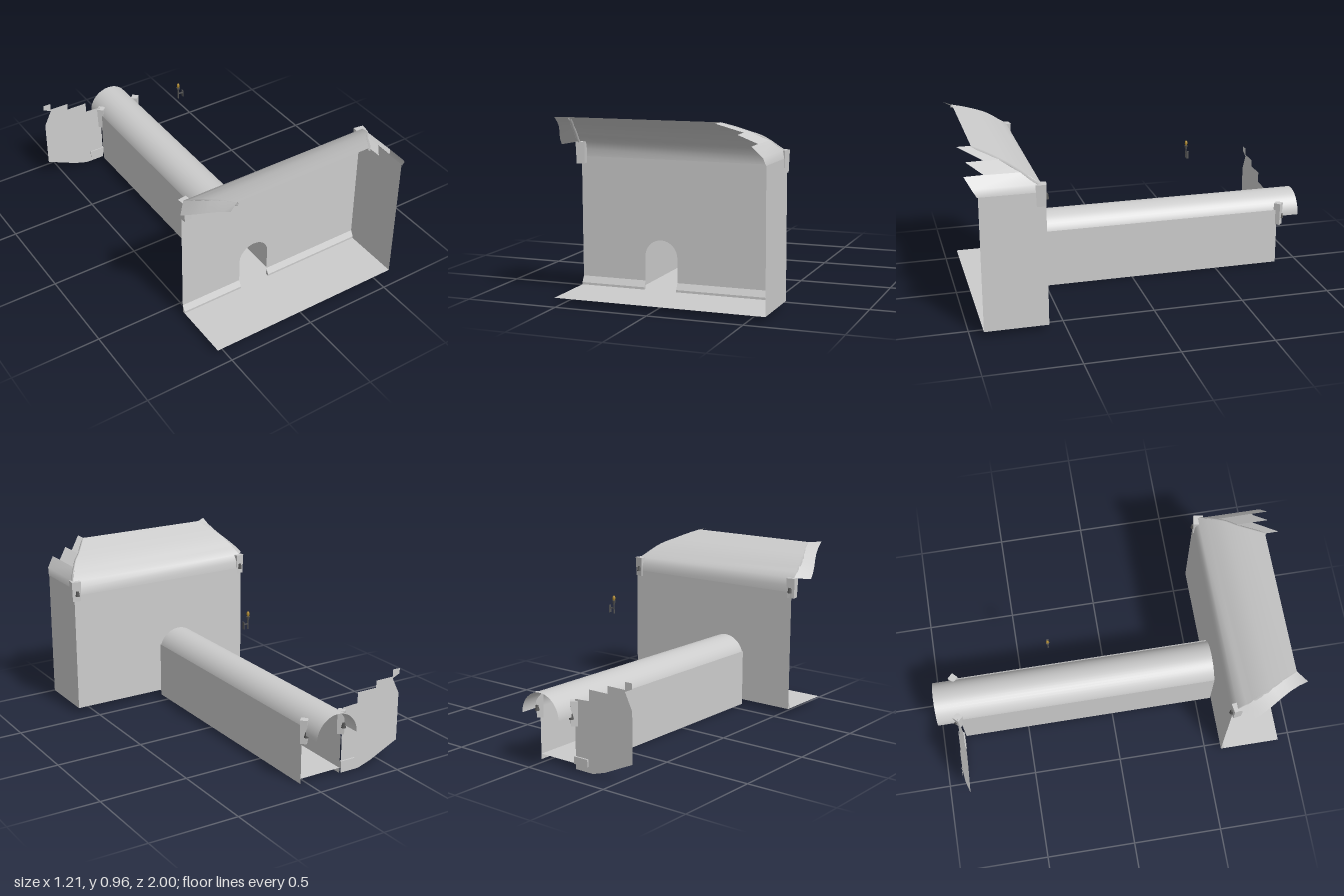
import * as THREE from 'three';

const grey = new THREE.MeshStandardMaterial({ color: 0xcccccc, side: THREE.DoubleSide });
const dark = new THREE.MeshStandardMaterial({ color: 0x555555 });
const gold = new THREE.MeshStandardMaterial({ color: 0xb08a2e });

const MID = -0.09; // tunnel centre line
const LEFT = 0.59, RIGHT = -0.54, BACK = 0.59, FRONT = 0.93, FLOOR = 0.03;

function add(group, name, geometry, x = 0, y = 0, z = 0, material = grey) {
  const mesh = new THREE.Mesh(geometry, material);
  mesh.name = name;
  mesh.position.set(x, y, z);
  group.add(mesh);
  return mesh;
}

// Ruled surface between two rows of points
function ruled(rowA, rowB) {
  const pos = [], index = [];
  rowA.forEach((a, i) => {
    pos.push(...a, ...rowB[i]);
    if (i) {
      const k = i * 2;
      index.push(k - 2, k - 1, k, k, k - 1, k + 1);
    }
  });
  const g = new THREE.BufferGeometry();
  g.setAttribute('position', new THREE.Float32BufferAttribute(pos, 3));
  g.setIndex(index);
  g.computeVertexNormals();
  return g;
}

const polygon = (pts) => new THREE.ShapeGeometry(new THREE.Shape(pts.map((p) => new THREE.Vector2(...p))));

// Tapered capital with a small hanging knob
function capital(name, x, y, z, width, height, turn) {
  const g = new THREE.Group();
  g.name = name;
  g.position.set(x, y, z);
  const r = width / Math.SQRT2;
  const block = add(g, 'capitalBlock', new THREE.CylinderGeometry(r, r * 0.85, height, 4).toNonIndexed());
  block.geometry.computeVertexNormals();
  block.rotation.y = Math.PI / 4 + turn;
  add(g, 'capitalKnob', new THREE.CylinderGeometry(0.008, 0.013, 0.03, 6), 0, -height * 0.1, -width * 0.5, dark);
  return g;
}

function buildRoom() {
  const room = new THREE.Group();
  room.name = 'room';

  // Back wall with the arched doorway cut into its lower edge
  const wall = new THREE.Shape();
  wall.moveTo(RIGHT, FLOOR);
  wall.lineTo(MID - 0.09, FLOOR);
  wall.lineTo(MID - 0.09, 0.205);
  wall.absarc(MID, 0.205, 0.09, Math.PI, 0, true);
  wall.lineTo(MID + 0.09, FLOOR);
  wall.lineTo(LEFT, FLOOR);
  wall.lineTo(LEFT, 0.72);
  wall.lineTo(RIGHT, 0.72);
  add(room, 'backWall', new THREE.ShapeGeometry(wall, 16), 0, 0, BACK);

  // Floor and the single side wall
  const floor = add(room, 'floor', new THREE.PlaneGeometry(LEFT - RIGHT, FRONT - BACK),
    (LEFT + RIGHT) / 2, FLOOR, (FRONT + BACK) / 2);
  floor.rotation.x = -Math.PI / 2;
  const side = add(room, 'sideWall', new THREE.PlaneGeometry(FRONT - BACK, 0.73),
    LEFT, FLOOR + 0.365, (FRONT + BACK) / 2);
  side.rotation.y = -Math.PI / 2;

  // Sloped skirting on both sides of the doorway
  const profile = new THREE.Shape([[0, 0], [-0.018, 0], [-0.018, 0.012], [0, 0.045]]
    .map((p) => new THREE.Vector2(...p)));
  for (const [from, to] of [[RIGHT, MID - 0.09], [MID + 0.09, LEFT]]) {
    const skirting = add(room, 'skirting',
      new THREE.ExtrudeGeometry(profile, { depth: to - from, bevelEnabled: false }), from, FLOOR, BACK);
    skirting.rotation.y = Math.PI / 2;
  }

  // Curved ceiling between its two hips: y, z, right x, left x
  const rows = [
    [0.72, 0.59, -0.54, 0.59], [0.76, 0.592, -0.54, 0.59], [0.8, 0.61, -0.54, 0.583],
    [0.828, 0.655, -0.53, 0.56], [0.855, 0.69, -0.52, 0.535], [0.885, 0.74, -0.505, 0.5],
    [0.905, 0.785, -0.49, 0.46], [0.93, 0.845, -0.465, 0.415], [0.957, 0.925, -0.435, 0.36],
  ];
  const rightHip = rows.map(([y, z, x]) => [x, y, z]);
  const leftHip = rows.map(([y, z, , x]) => [x, y, z]);
  add(room, 'curvedCeiling', ruled(rightHip, leftHip));

  // Ribs along the hips
  for (const hip of [rightHip, leftHip]) {
    const path = new THREE.CatmullRomCurve3(hip.slice(2).map(([x, y, z]) => new THREE.Vector3(x, y - 0.007, z + 0.004)));
    add(room, 'hipRib', new THREE.TubeGeometry(path, 14, 0.009, 4));
  }

  // Broken ceiling strip on the open end
  const outer = rightHip.slice(2).map((p, i, all) => {
    const t = i / (all.length - 1);
    return [-0.605 + 0.105 * t - 0.018 * Math.sin(Math.PI * t) * (1 - 2 * t) + 0.008 * Math.sin(Math.PI * t),
      0.79 + 0.17 * t, 0.69 + 0.28 * t];
  });
  add(room, 'brokenCeilingStrip', ruled(rightHip.slice(2), outer));

  // Jagged vault above the side wall
  const h = leftHip;
  const inner = [h[1], h[2], h[4], h[4], h[6], h[6], h[8]];
  const jag = [[0.59, 0.76, 0.935], [0.582, 0.8, 0.958], [0.535, 0.855, 0.99], [0.535, 0.857, 0.89],
    [0.46, 0.905, 0.97], [0.46, 0.907, 0.88], [0.36, 0.957, 1.0]];
  add(room, 'jaggedVault', ruled(inner, jag));

  room.add(capital('rightCapital', -0.53, 0.743, 0.612, 0.05, 0.115, 0.15));
  room.add(capital('leftCapital', 0.572, 0.743, 0.612, 0.055, 0.115, -0.15));
  return room;
}

function buildTunnel() {
  const tunnel = new THREE.Group();
  tunnel.name = 'tunnel';
  const END = -0.87, R = 0.125, length = BACK - END, zMid = (BACK + END) / 2;

  // Half-round roof running past the walls
  const roof = add(tunnel, 'tunnelRoof',
    new THREE.CylinderGeometry(R, R, BACK + 1, 24, 1, true, Math.PI / 2, Math.PI), MID, 0.285, (BACK - 1) / 2);
  roof.rotation.x = Math.PI / 2;

  const floor = add(tunnel, 'tunnelFloor', new THREE.PlaneGeometry(R * 2, length), MID, FLOOR, zMid);
  floor.rotation.x = -Math.PI / 2;

  for (const s of [-1, 1]) {
    const wall = add(tunnel, 'tunnelWall', new THREE.PlaneGeometry(length, 0.325), MID + s * R, 0.1625, zMid);
    wall.rotation.y = s * Math.PI / 2;
    tunnel.add(capital('tunnelCapital', MID + s * 0.118, 0.3, -0.88, 0.04, 0.13, Math.PI / 4));
  }

  // Broken cross wall with a stepped top
  add(tunnel, 'brokenEndWall', polygon([
    [-0.215, 0.005], [-0.215, 0.375], [-0.31, 0.38], [-0.31, 0.44], [-0.43, 0.44], [-0.43, 0.48],
    [-0.54, 0.48], [-0.54, 0.52], [-0.585, 0.52], [-0.585, 0.49], [-0.54, 0.47], [-0.585, 0.38],
    [-0.585, 0.11], [-0.54, 0.09], [-0.41, 0.03], [-0.33, 0.005],
  ]), 0, 0, -0.88);
  add(tunnel, 'endSkirting', new THREE.BoxGeometry(0.09, 0.04, 0.015), -0.255, 0.055, -0.882);
  return tunnel;
}

// Small sconce hanging free above the tunnel
function buildSconce() {
  const sconce = new THREE.Group();
  sconce.name = 'sconce';
  sconce.position.set(0.005, 0, -0.32);
  add(sconce, 'flame', new THREE.SphereGeometry(0.008, 8, 6), 0, 0.765, 0, gold).scale.y = 1.9;
  add(sconce, 'cup', new THREE.CylinderGeometry(0.01, 0.005, 0.02, 8), 0, 0.742, 0, dark);
  add(sconce, 'stem', new THREE.CylinderGeometry(0.004, 0.004, 0.055, 6), 0, 0.708, 0, dark);
  add(sconce, 'arm', new THREE.BoxGeometry(0.028, 0.006, 0.006), 0.014, 0.71, 0, dark);
  add(sconce, 'mountingPlate', new THREE.BoxGeometry(0.005, 0.04, 0.014), 0.028, 0.705, 0, dark);
  return sconce;
}

export function createModel() {
  const model = new THREE.Group();
  model.name = 'ruinedHallway';
  model.add(buildRoom(), buildTunnel(), buildSconce());
  return model;
}
